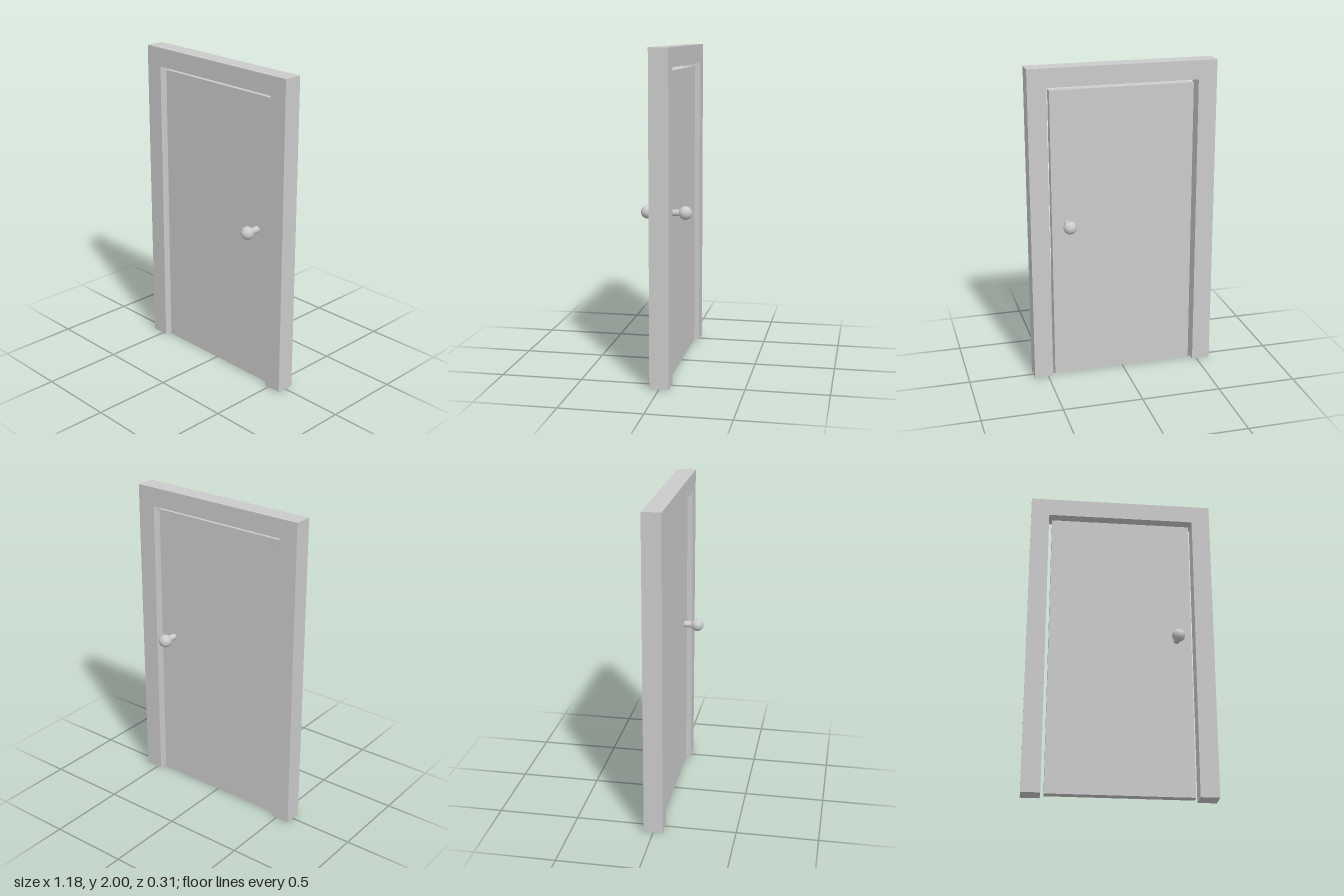
import * as THREE from 'three';

const material = new THREE.MeshStandardMaterial({ color: 0xcccccc });

function part(name, geometry, parent) {
  const mesh = new THREE.Mesh(geometry, material);
  mesh.name = name;
  parent.add(mesh);
  return mesh;
}

export function createModel() {
  const model = new THREE.Group();
  model.name = 'door';

  // Door frame: two jambs and a lintel in one piece
  const W = 0.588, H = 2, depth = 0.117, innerW = 0.471, innerH = 1.882;
  const outline = new THREE.Shape([
    [-W, 0], [-innerW, 0], [-innerW, innerH], [innerW, innerH],
    [innerW, 0], [W, 0], [W, H], [-W, H],
  ].map(([x, y]) => new THREE.Vector2(x, y)));
  const frame = new THREE.ExtrudeGeometry(outline, { depth, bevelEnabled: false });
  frame.translate(0, 0, -depth / 2);
  part('doorFrame', frame, model);

  // Door panel, recessed from both faces of the frame
  const bottom = 0.004, top = 1.86;
  part('doorPanel', new THREE.BoxGeometry(0.9, top - bottom, 0.057), model)
    .position.y = (top + bottom) / 2;

  // A knob on a stem, front and back
  for (const side of [1, -1]) {
    const knob = new THREE.Group();
    knob.name = side > 0 ? 'frontKnob' : 'backKnob';
    knob.position.set(0.355, 1.022, 0);
    const stem = part('knobStem', new THREE.CylinderGeometry(0.02, 0.02, 0.1, 32), knob);
    stem.rotation.x = Math.PI / 2;
    stem.position.z = side * 0.064;
    part('knobBall', new THREE.SphereGeometry(0.041, 32, 24), knob).position.z = side * 0.114;
    model.add(knob);
  }
  return model;
}
